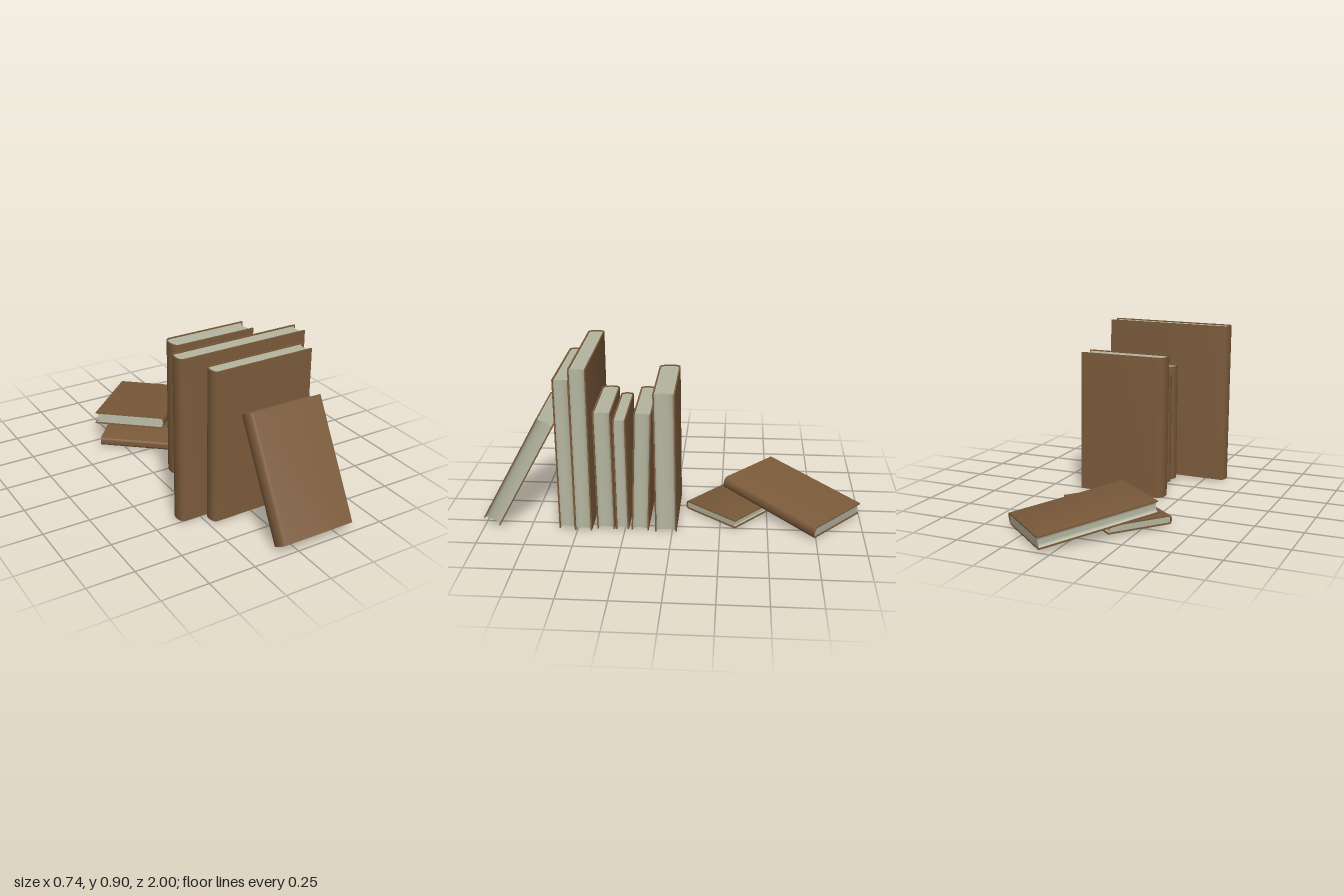
import * as THREE from 'three';
import { toCreasedNormals } from 'three/addons/utils/BufferGeometryUtils.js';

const coverMat = new THREE.MeshStandardMaterial({ color: 0x7a5a3a });
const pageMat = new THREE.MeshStandardMaterial({ color: 0xb4b59f });
const BOARD = 0.007; // cover thickness
const LIP = 0.006;   // how far the cover overhangs the pages

// half-ellipse in the book's cross-section, from the +z side to the -z side
function arc(x, depth, half, n = 10) {
  const pts = [];
  for (let i = 0; i <= n; i++) {
    const a = (i / n) * Math.PI;
    pts.push(new THREE.Vector2(x - depth * Math.sin(a), half * Math.cos(a)));
  }
  return pts;
}

// extrude a cross-section (x = spine to fore-edge, y = thickness) along the book's height
function block(points, y0, height) {
  const geo = new THREE.ExtrudeGeometry(new THREE.Shape(points), { depth: height, bevelEnabled: false });
  geo.rotateX(-Math.PI / 2).translate(0, y0, 0);
  return toCreasedNormals(geo, 0.7);
}

// Book with its origin at the middle of its bottom edge, spine at -x
function makeBook(name, w, h, t) {
  const book = new THREE.Group();
  book.name = name;
  const half = t / 2, bulge = 0.28 * t;
  const spineX = -w / 2 + bulge, foreX = w / 2;

  // U-shaped cover: two boards joined by a rounded spine
  const outer = arc(spineX, bulge, half);
  const inner = arc(spineX, bulge - BOARD, half - BOARD);
  const cover = new THREE.Mesh(block([
    new THREE.Vector2(foreX, half), ...outer, new THREE.Vector2(foreX, -half),
    new THREE.Vector2(foreX, -half + BOARD), ...inner.reverse(), new THREE.Vector2(foreX, half - BOARD),
  ], 0, h), coverMat);
  cover.name = 'cover';

  // page block: rounded at the spine, hollowed at the fore-edge
  const back = arc(spineX, bulge - BOARD, half - BOARD);
  const front = arc(foreX - LIP, 0.16 * t, half - BOARD).reverse();
  const pages = new THREE.Mesh(block([...back, ...front], LIP, h - 2 * LIP), pageMat);
  pages.name = 'pages';

  book.add(cover, pages);
  return book;
}

// orient a book by its spine-to-fore-edge direction and its height direction
function place(book, at, across, up) {
  const x = new THREE.Vector3(...across).normalize();
  const z = x.clone().cross(new THREE.Vector3(...up)).normalize();
  const y = z.clone().cross(x);
  book.quaternion.setFromRotationMatrix(new THREE.Matrix4().makeBasis(x, y, z));
  book.position.set(...at);
  return book;
}

export function createModel() {
  const model = new THREE.Group();
  model.name = 'books';

  // row of upright books: width, height, thickness, base centre, lean (z per y), roll
  const row = [
    ['leaningBook', 0.42, 0.65, 0.096, [0.112, 0.035, 0.958], -0.544, 0],
    ['secondBook', 0.56, 0.825, 0.086, [0.05, 0.012, 0.552], 0.006, 0.008],
    ['tallBook', 0.715, 0.887, 0.091, [-0.011, 0.012, 0.465], 0.006, 0.008],
    ['fourthBook', 0.42, 0.655, 0.094, [0.112, 0.013, 0.348], 0.013, 0],
    ['thinBook', 0.42, 0.615, 0.068, [0.112, 0.015, 0.261], 0.013, 0],
    ['sixthBook', 0.42, 0.655, 0.09, [0.112, 0.013, 0.168], -0.03, 0],
    ['endBook', 0.485, 0.768, 0.113, [0.081, 0.005, 0.032], 0.012, 0.008],
  ];
  for (const [name, w, h, t, at, lean, roll] of row) {
    model.add(place(makeBook(name, w, h, t), at, [1, roll, 0], [-roll, 1, lean]));
  }

  // two books lying behind the row, the upper one propped on the lower
  model.add(place(makeBook('lowerFlatBook', 0.35, 0.547, 0.046),
    [0.162, 0.037, -0.195], [0.64, 0, -0.77], [-0.77, 0, -0.64]));
  model.add(place(makeBook('upperFlatBook', 0.405, 0.63, 0.066),
    [0.215, 0.048, -0.868], [-0.76, 0, -0.65], [-0.65, 0.136, 0.76]));
  return model;
}
